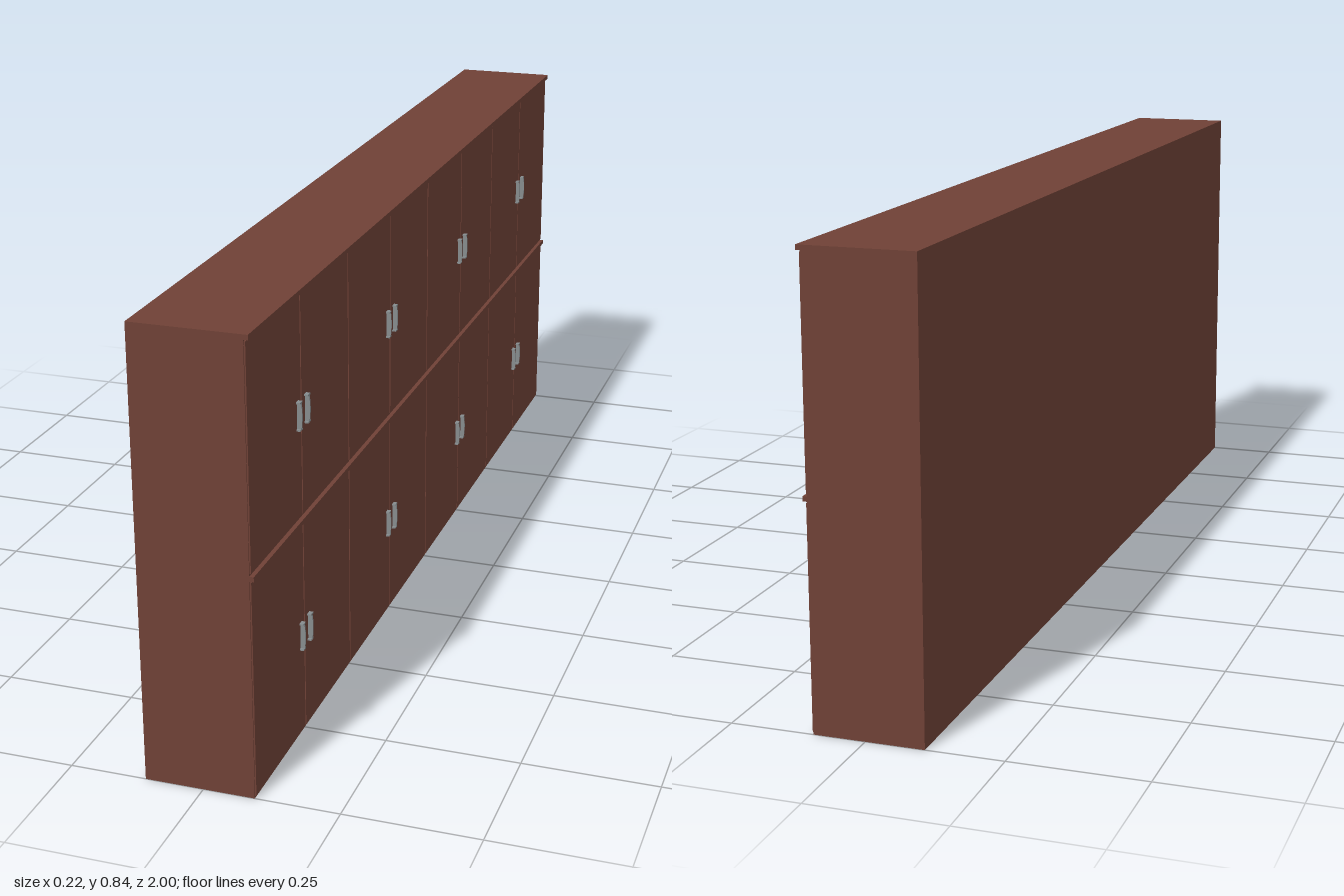
import * as THREE from 'three';

const wood = new THREE.MeshStandardMaterial({ color: 0x6f4136 });
wood.name = 'brownWood';
const metal = new THREE.MeshStandardMaterial({ color: 0x868c8e });
metal.name = 'greyMetal';

const BACK = -0.108, FRONT = 0.095, DOOR_FRONT = 0.0975, LEDGE_FRONT = 0.103;
const ROW_H = 0.421, LEDGE_H = 0.009, COLUMNS = 8, GAP = 0.004;

// Box given by its lower and upper corners
function box(name, material, x0, x1, y0, y1, z0, z1) {
  const mesh = new THREE.Mesh(new THREE.BoxGeometry(x1 - x0, y1 - y0, z1 - z0), material);
  mesh.position.set((x0 + x1) / 2, (y0 + y1) / 2, (z0 + z1) / 2);
  mesh.name = name;
  return mesh;
}

// Bowed upright pull: a thin blade with a wider foot at each end
function createHandle() {
  const handle = new THREE.Group();
  handle.name = 'handle';
  const h = 0.0265, t = 0.003;
  const profile = new THREE.Shape();
  profile.moveTo(0, -h);
  profile.lineTo(0.0075, -h);
  profile.quadraticCurveTo(0.0115, 0, 0.0075, h);
  profile.lineTo(0, h);
  profile.closePath();
  const blade = new THREE.Mesh(
    new THREE.ExtrudeGeometry(profile, { depth: t, bevelEnabled: false, curveSegments: 8 }), metal);
  blade.position.z = -t / 2;
  blade.name = 'handleBlade';
  handle.add(blade);
  for (const s of [-1, 1]) {
    const y = s * (h - 0.0015);
    handle.add(box('handleFoot', metal, 0, 0.0075, y - 0.0015, y + 0.0015, -0.006, 0.006));
  }
  return handle;
}

export function createModel() {
  const model = new THREE.Group();
  model.name = 'doubleCupboard';
  const width = 2 / COLUMNS;

  for (let row = 0; row < 2; row++) {
    const cabinet = new THREE.Group();
    cabinet.name = row ? 'upperCabinet' : 'lowerCabinet';
    cabinet.position.y = row * ROW_H;

    // Carcass and the ledge above its doors
    cabinet.add(box('carcass', wood, BACK, FRONT, 0, ROW_H, -1, 1));
    cabinet.add(box('ledge', wood, FRONT, LEDGE_FRONT, ROW_H - LEDGE_H, ROW_H, -1, 1));

    for (let i = 0; i < COLUMNS; i++) {
      const z0 = -1 + i * width, z1 = z0 + width;
      cabinet.add(box('door', wood, FRONT, DOOR_FRONT, 0.004, ROW_H - LEDGE_H - 0.003,
        z0 + GAP / 2, z1 - GAP / 2));
      // Handles sit beside the seam shared by each pair of doors
      const handle = createHandle();
      handle.position.set(DOOR_FRONT, 0.1965, i % 2 ? z0 + 0.02 : z1 - 0.02);
      cabinet.add(handle);
    }
    model.add(cabinet);
  }
  return model;
}
